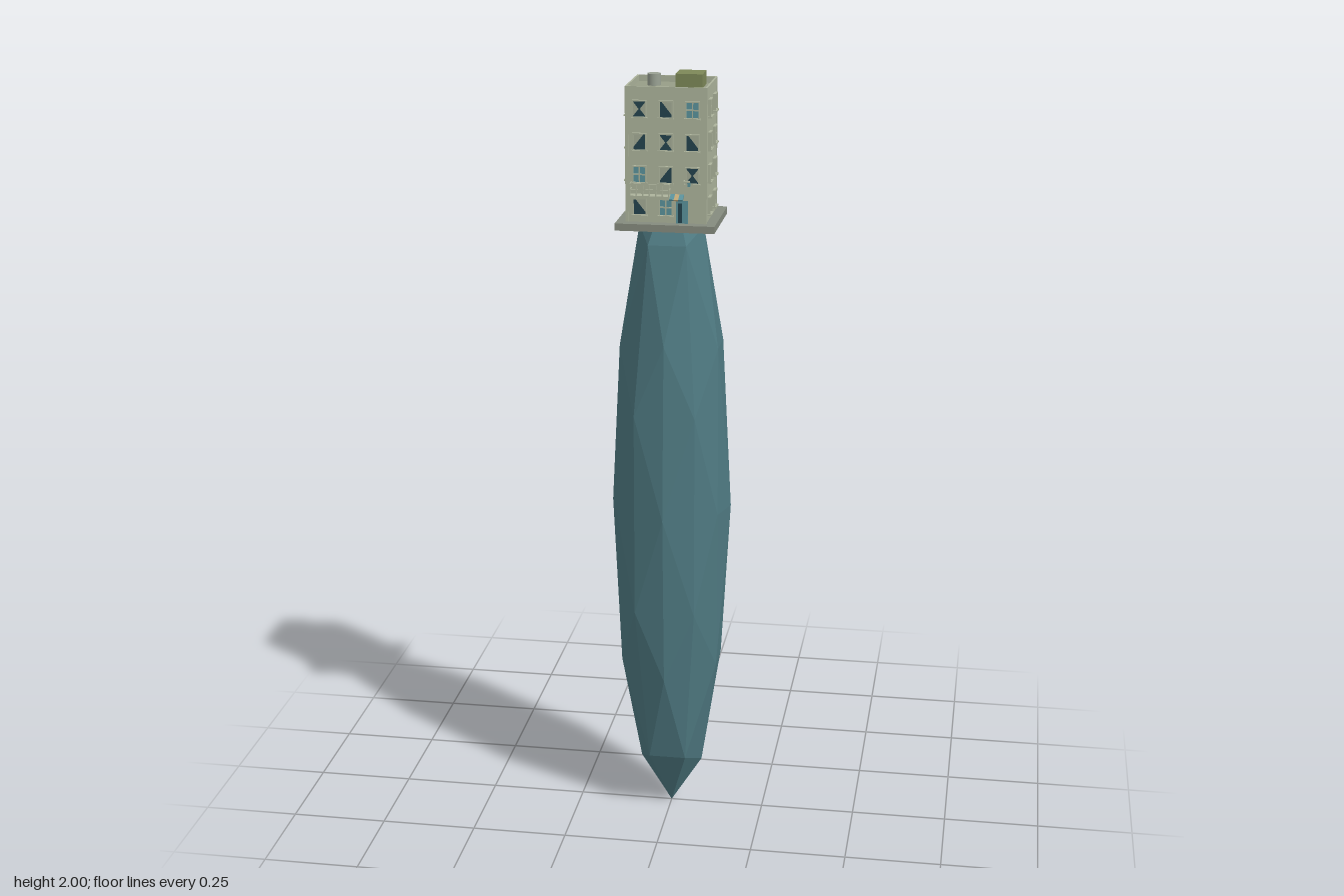
import * as THREE from 'three';

const material = (color, extra = {}) => new THREE.MeshStandardMaterial({ color, flatShading: true, ...extra });
const stone = material(0x4f7a82);
const wall = material(0xadb49c);
const paving = material(0x858b7e);
const roofGrey = material(0x979d87);
const olive = material(0x7d8858);
const teal = material(0x5a929c);
const dark = material(0x24434d);
const tan = material(0xbfa676);
const shardMat = material(0xa3ab95, { side: THREE.DoubleSide });

const BASE = 1.645, ROOF = 1.965, HX = 0.1, HZ = 0.09;

function add(parent, name, geometry, mat, x = 0, y = 0, z = 0) {
  const mesh = new THREE.Mesh(geometry, mat);
  mesh.name = name;
  mesh.position.set(x, y, z);
  parent.add(mesh);
  return mesh;
}

// Box given by its minimum and maximum corners
function span(parent, name, mat, [x0, y0, z0], [x1, y1, z1]) {
  return add(parent, name, new THREE.BoxGeometry(x1 - x0, y1 - y0, z1 - z0), mat,
    (x0 + x1) / 2, (y0 + y1) / 2, (z0 + z1) / 2);
}

function rectangle(path, w, h) {
  path.moveTo(-w, -h);
  path.lineTo(w, -h);
  path.lineTo(w, h);
  path.lineTo(-w, h);
  path.closePath();
  return path;
}

// Window frame, opening and one of four pane patterns
const W = 0.015, H = 0.019;
const frameShape = rectangle(new THREE.Shape(), W + 0.003, H + 0.003);
frameShape.holes.push(rectangle(new THREE.Path(), W, H));
const frameGeo = new THREE.ExtrudeGeometry(frameShape, { depth: 0.007, bevelEnabled: false });
const paneGeo = new THREE.PlaneGeometry(2 * W, 2 * H);
const shardGeo = (...points) => new THREE.ShapeGeometry(new THREE.Shape(points.map(p => new THREE.Vector2(p[0] * W, p[1] * H))));
const patterns = [
  [shardGeo([-0.7, 1], [1, 1], [1, -0.7])],
  [shardGeo([-1, 0.9], [-0.1, 0], [-1, -0.9]), shardGeo([1, 0.9], [1, -0.9], [0.1, 0])],
  [shardGeo([-1, -0.7], [-1, 1], [0.7, 1])],
];

function makeWindow(kind) {
  const g = new THREE.Group();
  g.name = 'window';
  add(g, 'windowFrame', frameGeo, wall);
  add(g, 'windowPane', paneGeo, kind === 3 ? teal : dark, 0, 0, 0.0015);
  if (kind === 3) {
    add(g, 'mullion', new THREE.BoxGeometry(0.003, 2 * H, 0.004), wall, 0, 0, 0.003);
    add(g, 'transom', new THREE.BoxGeometry(2 * W, 0.003, 0.004), wall, 0, 0, 0.003);
  } else {
    patterns[kind].forEach(s => add(g, 'windowShard', s, shardMat, 0, 0, 0.003));
  }
  add(g, 'windowSill', new THREE.BoxGeometry(0.04, 0.004, 0.01), wall, 0, -H - 0.003, 0.005);
  return g;
}

function addFacade(parent, name, distance, angle, columns, isFront) {
  const facade = new THREE.Group();
  facade.name = name;
  for (let row = 0; row < 4; row++) {
    columns.forEach((x, col) => {
      if (isFront && row === 0 && col === 2) return; // door bay
      const w = makeWindow((row * 3 + col * 3 + Math.round(angle)) % 4);
      w.position.set(x, 1.684 + row * 0.081, distance);
      facade.add(w);
    });
  }
  facade.rotation.y = angle;
  parent.add(facade);
}

function makeEntrance() {
  const g = new THREE.Group();
  g.name = 'entrance';
  span(g, 'door', teal, [0.025, BASE, 0.088], [0.055, 1.702, 0.094]);
  span(g, 'doorOpening', dark, [0.031, BASE + 0.002, 0.09], [0.041, 1.696, 0.0955]);
  // Striped canopy above the door, sloping down and forward
  for (let i = 0; i < 3; i++) {
    const strip = add(g, 'canopyStrip', new THREE.BoxGeometry(0.0112, 0.004, 0.026),
      i === 1 ? tan : teal, 0.0175 + i * 0.0112, 1.712, 0.104);
    strip.rotation.x = 0.35;
  }
  // Balcony with railings
  span(g, 'balconySlab', wall, [-0.088, 1.71, 0.088], [0.012, 1.716, 0.116]);
  for (const y of [1.729, 1.743]) {
    span(g, 'frontRail', wall, [-0.088, y, 0.113], [0.012, y + 0.003, 0.116]);
    for (const x of [-0.088, 0.009]) span(g, 'sideRail', wall, [x, y, 0.09], [x + 0.003, y + 0.003, 0.116]);
  }
  for (let i = 0; i < 7; i++) {
    const x = -0.088 + i * 0.0162;
    span(g, 'railPost', wall, [x, 1.716, 0.113], [x + 0.0025, 1.745, 0.116]);
  }
  // Small bracketed lamp
  span(g, 'lampArm', wall, [0.045, 1.75, 0.102], [0.062, 1.754, 0.105]);
  span(g, 'lampBracket', wall, [0.045, 1.75, 0.088], [0.049, 1.754, 0.105]);
  span(g, 'lamp', teal, [0.056, 1.74, 0.1], [0.062, 1.75, 0.106]);
  return g;
}

export function createModel() {
  const model = new THREE.Group();
  model.name = 'towerOnRock';

  // Long faceted rock under the building
  const rock = new THREE.IcosahedronGeometry(1, 1);
  rock.scale(0.157, 0.875, 0.156);
  add(model, 'rock', rock, stone, 0, 0.875, 0);

  span(model, 'groundSlab', paving, [-0.125, 1.627, -0.12], [0.125, BASE, 0.118]);

  const building = new THREE.Group();
  building.name = 'building';
  model.add(building);
  span(building, 'walls', wall, [-HX, BASE, -HZ], [HX, ROOF, HZ]);
  span(building, 'roof', roofGrey, [-HX + 0.003, ROOF - 0.002, -HZ + 0.003], [HX - 0.003, ROOF + 0.001, HZ - 0.003]);

  // Parapet around the roof
  const rim = rectangle(new THREE.Shape(), HX + 0.002, HZ + 0.001);
  rim.holes.push(rectangle(new THREE.Path(), HX - 0.003, HZ - 0.004));
  const parapet = new THREE.ExtrudeGeometry(rim, { depth: 0.02, bevelEnabled: false });
  parapet.rotateX(-Math.PI / 2);
  add(building, 'parapet', parapet, wall, 0, ROOF - 0.003, 0);

  // Corner pilasters
  for (const sx of [-1, 1]) for (const sz of [-1, 1]) {
    add(building, 'cornerPilaster', new THREE.BoxGeometry(0.008, ROOF - BASE, 0.008), wall,
      sx * (HX - 0.002), (ROOF + BASE) / 2, sz * (HZ - 0.002));
  }

  // Rooftop stair hut and vent
  span(building, 'stairHut', olive, [0.009, ROOF, -0.07], [0.077, 2, -0.002]);
  add(building, 'roofVent', new THREE.CylinderGeometry(0.017, 0.017, 0.03, 20),
    new THREE.MeshStandardMaterial({ color: 0x9aa294 }), -0.05, 1.98, -0.035);

  const three = [-0.066, 0, 0.066], two = [-0.043, 0.043];
  addFacade(building, 'frontWindows', HZ, 0, three, true);
  addFacade(building, 'backWindows', HZ, Math.PI, three, false);
  addFacade(building, 'leftWindows', HX, Math.PI / 2, two, false);
  addFacade(building, 'rightWindows', HX, Math.PI * 1.5, two, false);
  building.add(makeEntrance());

  return model;
}
